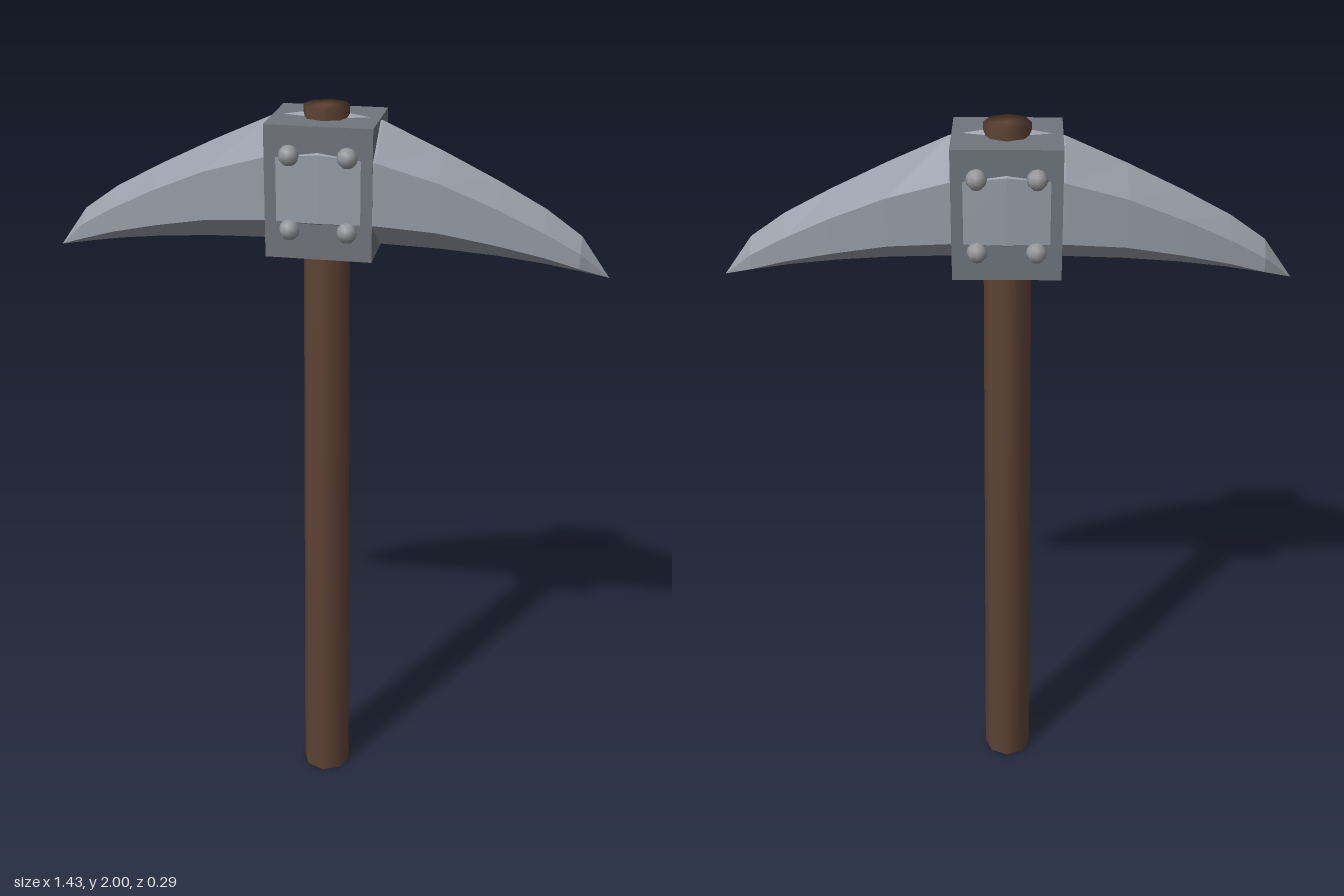
import * as THREE from 'three';

const wood = new THREE.MeshStandardMaterial({ name: 'darkWood', color: 0x5e4234 });
const steel = new THREE.MeshStandardMaterial({ name: 'paleSteel', color: 0x989da7, flatShading: true });
const iron = new THREE.MeshStandardMaterial({ name: 'darkIron', color: 0x70757d });
const rivetMetal = new THREE.MeshStandardMaterial({ name: 'rivetMetal', color: 0x94969a });

// Half of the blade: x, top ridge y, upper shoulder y, lower shoulder y, bottom y, half thickness
const half = [
  [0, 1.99, 1.905, 1.735, 1.655, 0.121],
  [0.14, 1.967, 1.89, 1.735, 1.655, 0.113],
  [0.29, 1.9, 1.845, 1.722, 1.651, 0.099],
  [0.43, 1.832, 1.785, 1.694, 1.642, 0.081],
  [0.55, 1.768, 1.725, 1.664, 1.629, 0.062],
  [0.64, 1.705, 1.672, 1.635, 1.615, 0.045],
  [0.715, 1.602, 1.602, 1.602, 1.602, 0],
];

// Blade lofted through six-sided sections from tip to tip
function bladeGeometry() {
  const sections = [
    ...half.slice(1).reverse().map(([x, ...rest]) => [-x, ...rest]),
    ...half,
  ];
  const positions = [];
  const index = [];
  for (const [x, top, upper, lower, bottom, w] of sections) {
    positions.push(x, top, 0, x, upper, w, x, lower, w, x, bottom, 0, x, lower, -w, x, upper, -w);
  }
  const last = sections.length - 2;
  for (let i = 0; i <= last; i++) {
    for (let k = 0; k < 6; k++) {
      const a = i * 6 + k;
      const c = i * 6 + (k + 1) % 6;
      const b = a + 6;
      const d = c + 6;
      // Each tip is a point, so it needs one triangle per side
      if (i > 0) index.push(a, c, b);
      else index.push(a, d, b);
      if (i > 0 && i < last) index.push(b, c, d);
    }
  }
  const geometry = new THREE.BufferGeometry();
  geometry.setAttribute('position', new THREE.Float32BufferAttribute(positions, 3));
  geometry.setIndex(index);
  const flat = geometry.toNonIndexed();
  flat.computeVertexNormals();
  return flat;
}

export function createModel() {
  const group = new THREE.Group();
  group.name = 'pickaxe';
  const add = (name, geometry, material, x = 0, y = 0, z = 0) => {
    const mesh = new THREE.Mesh(geometry, material);
    mesh.name = name;
    mesh.position.set(x, y, z);
    group.add(mesh);
    return mesh;
  };

  // Eight-sided tapered handle, shaded smoothly over its ends
  const profile = [[0, 0], [0.068, 0], [0.058, 2], [0, 2]].map(([r, y]) => new THREE.Vector2(r, y));
  add('handle', new THREE.LatheGeometry(profile, 8), wood);

  // Curved double-pointed head and the block that holds it
  add('blade', bladeGeometry(), steel);
  add('headBlock', new THREE.BoxGeometry(0.268, 0.33, 0.23), iron, 0, 1.807, 0);

  // Four rivets on the front and four on the back
  const rivet = new THREE.SphereGeometry(0.026, 8, 6);
  for (const z of [-0.117, 0.117]) {
    for (const y of [1.715, 1.9]) {
      for (const x of [-0.072, 0.072]) add('rivet', rivet, rivetMetal, x, y, z);
    }
  }
  return group;
}
